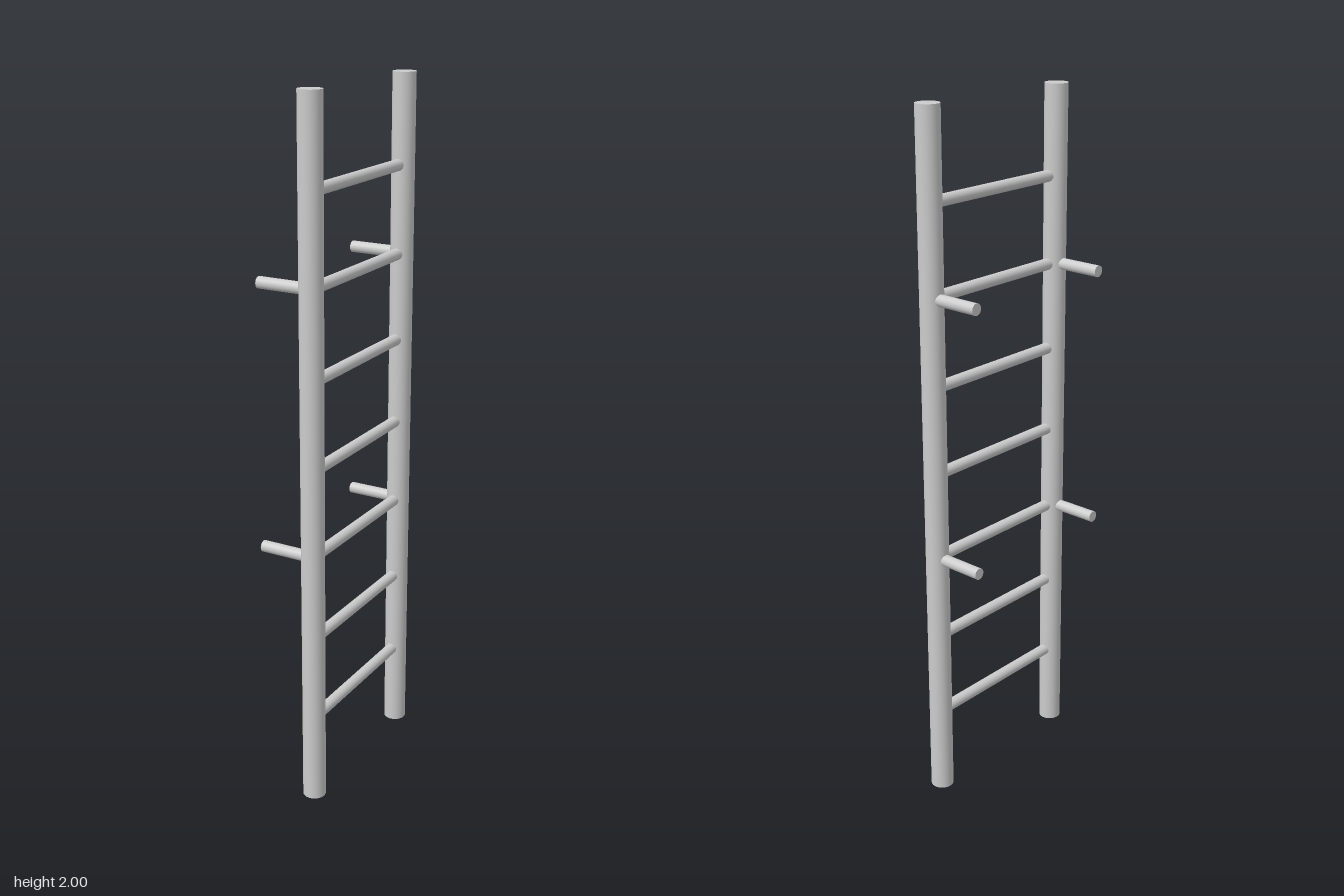
import * as THREE from 'three';

const RAIL_X = 0.063, RAIL_Z = 0.25, RAIL_R = 0.033, BAR_R = 0.0165;

export function createModel() {
  const model = new THREE.Group();
  model.name = 'wallLadder';
  const material = new THREE.MeshStandardMaterial({ color: 0xcccccc });

  // Round bar of a given length, upright until rotated
  function bar(name, radius, length, x, y, z) {
    const mesh = new THREE.Mesh(new THREE.CylinderGeometry(radius, radius, length, 32), material);
    mesh.name = name;
    mesh.position.set(x, y, z);
    model.add(mesh);
    return mesh;
  }

  // Side rails with their wall brackets
  for (const [side, z] of [['left', -RAIL_Z], ['right', RAIL_Z]]) {
    bar(`${side}Rail`, RAIL_R, 2, RAIL_X, 1, z);
    for (const y of [0.75, 1.5]) {
      const length = RAIL_X + 0.096;
      bar(`${side}WallBracket`, BAR_R, length, RAIL_X - length / 2, y, z).rotation.z = Math.PI / 2;
    }
  }

  // Evenly spaced rungs
  for (let i = 1; i <= 7; i++) {
    bar(`rung${i}`, BAR_R, RAIL_Z * 2, RAIL_X, i * 0.25, 0).rotation.x = Math.PI / 2;
  }

  return model;
}
